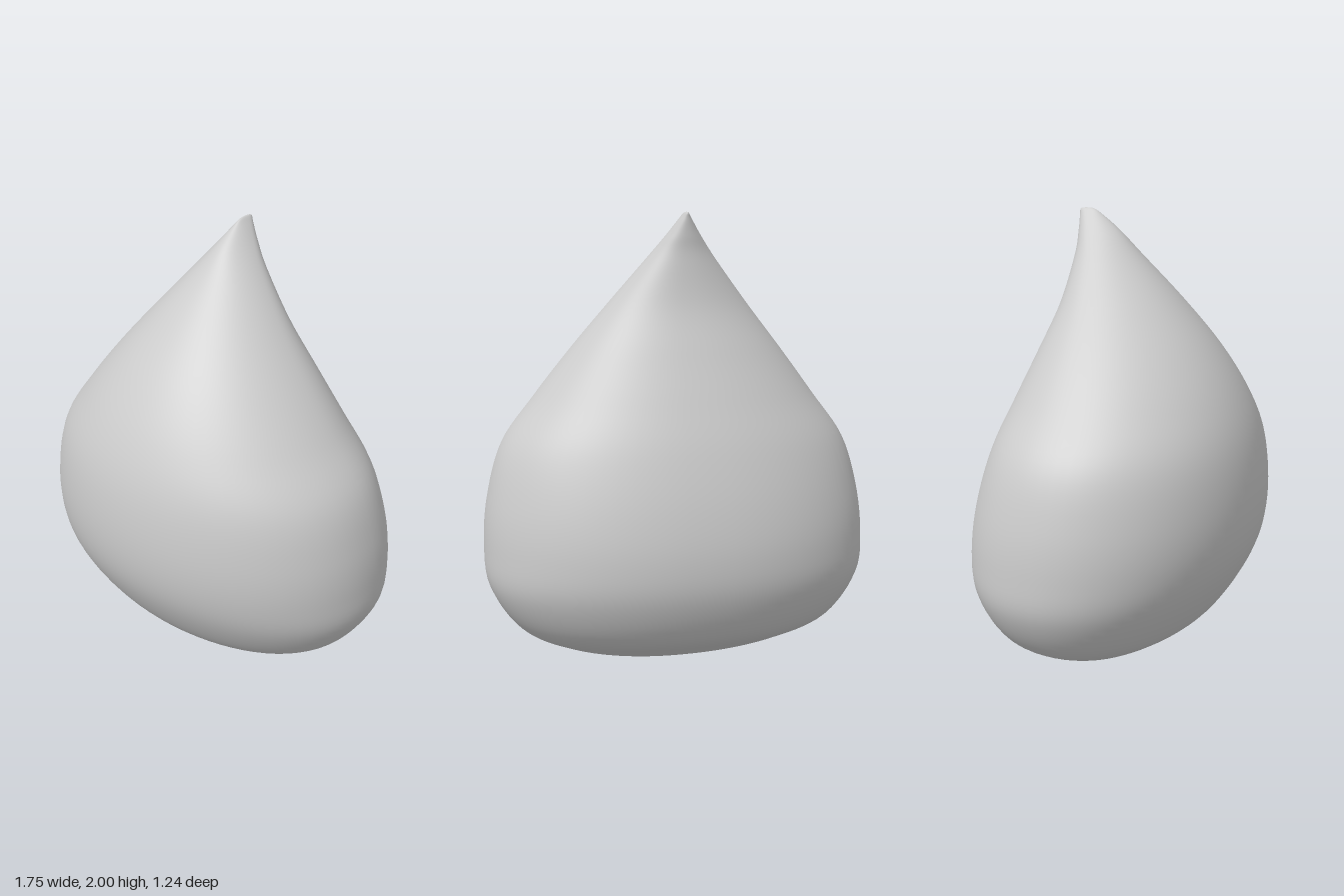
import * as THREE from 'three';
import { mergeVertices } from 'three/addons/utils/BufferGeometryUtils.js';

// Level sections: height, half width, front z, back z, z of the widest line
const SECTIONS = [
  [0, 0, -0.04, -0.04, -0.04],
  [0.01, 0.18, 0.06, -0.13, -0.04],
  [0.04, 0.38, 0.17, -0.235, -0.04],
  [0.1, 0.57, 0.28, -0.36, -0.05],
  [0.2, 0.74, 0.41, -0.51, -0.06],
  [0.38, 0.855, 0.53, -0.6, -0.06],
  [0.56, 0.873, 0.6, -0.618, -0.05],
  [0.77, 0.853, 0.62, -0.587, -0.04],
  [1.0, 0.785, 0.595, -0.52, -0.03],
  [1.2, 0.64, 0.525, -0.44, -0.03],
  [1.4, 0.485, 0.405, -0.355, -0.05],
  [1.6, 0.32, 0.24, -0.277, -0.08],
  [1.8, 0.155, 0.05, -0.24, -0.13],
  [1.9, 0.076, -0.045, -0.237, -0.17],
  [1.97, 0.026, -0.13, -0.238, -0.2],
  [1.995, 0.008, -0.17, -0.236, -0.21],
  [2, 0, -0.21, -0.21, -0.21],
];

const ROWS = 96;
const SIDES = 72;

// Rounded body lofted through half-oval front and fuller half-oval back
function loft() {
  const curve = (f) => new THREE.CatmullRomCurve3(SECTIONS.map(f), false, 'catmullrom', 0.5);
  const outline = curve(([y, w, , , c]) => new THREE.Vector3(w, y, c));
  const depth = curve(([y, , f, b]) => new THREE.Vector3(f, y, b));
  const positions = [];
  const indices = [];
  for (let j = 0; j <= ROWS; j++) {
    const o = outline.getPoint(j / ROWS);
    const d = depth.getPoint(j / ROWS);
    for (let i = 0; i < SIDES; i++) {
      const t = (i / SIDES) * Math.PI * 2;
      const c = Math.cos(t);
      const s = Math.sin(t);
      const power = s < 0 ? 2 / 2.2 : 1;
      const x = o.x * Math.sign(c) * Math.abs(c) ** power;
      const reach = s < 0 ? o.z - d.z : d.x - o.z;
      positions.push(x, o.y, o.z + reach * Math.sign(s) * Math.abs(s) ** power);
      if (j < ROWS) {
        const a = j * SIDES + i;
        const b = j * SIDES + ((i + 1) % SIDES);
        // Single triangles at the two poles
        if (j < ROWS - 1) indices.push(a, a + SIDES, b + SIDES);
        if (j > 0) indices.push(a, b + SIDES, b);
      }
    }
  }
  let geometry = new THREE.BufferGeometry();
  geometry.setAttribute('position', new THREE.Float32BufferAttribute(positions, 3));
  geometry.setIndex(indices);
  geometry = mergeVertices(geometry, 1e-5);
  geometry.computeVertexNormals();
  return geometry;
}

export function createModel() {
  const group = new THREE.Group();
  group.name = 'teardrop';
  const grey = new THREE.MeshStandardMaterial({ color: 0xcccccc });
  grey.name = 'light grey';
  const body = new THREE.Mesh(loft(), grey);
  body.name = 'body';
  group.add(body);
  return group;
}
